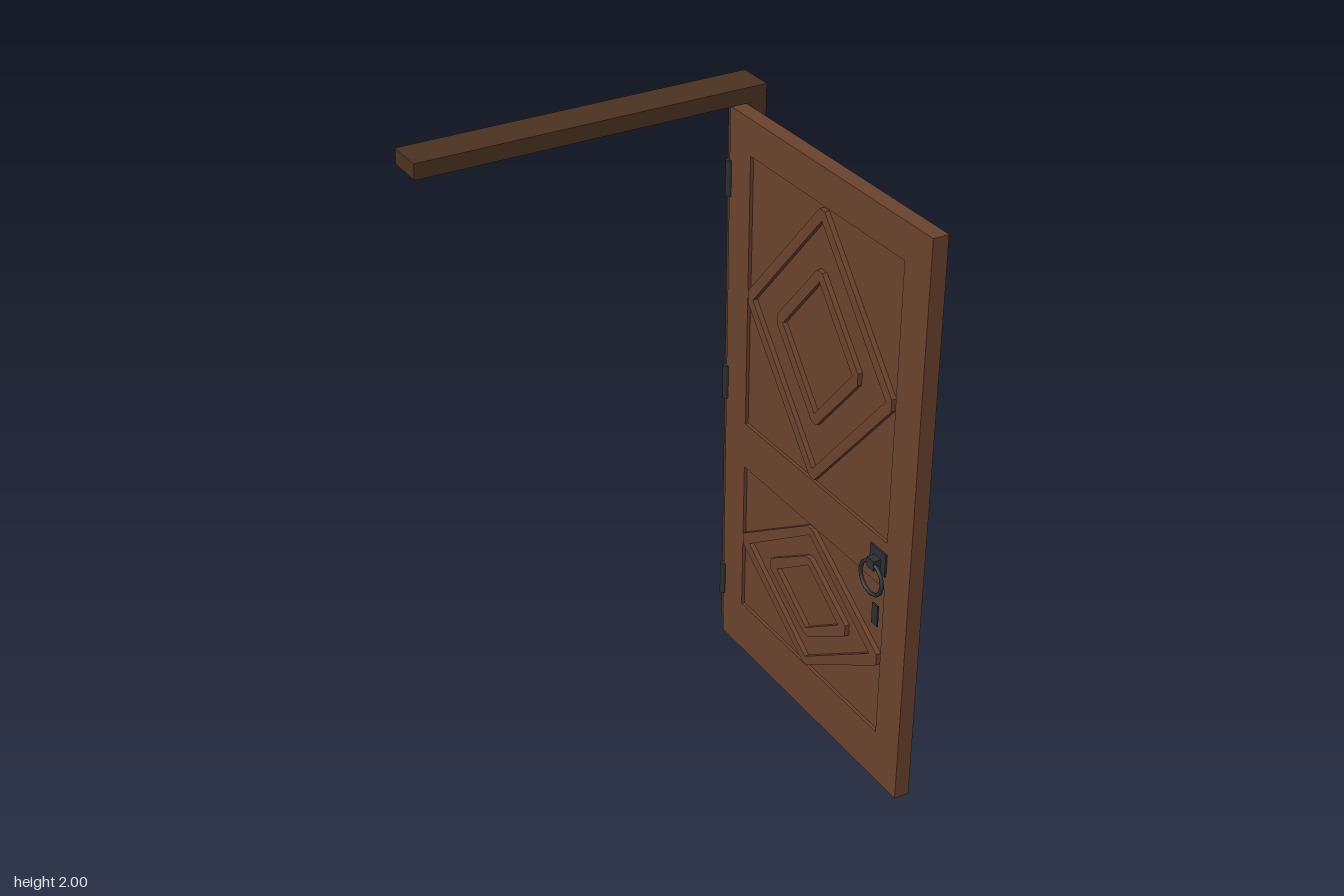
import * as THREE from 'three';

const DOOR_X = 0.491;   // centre plane of the open door leaf
const PANEL_Z = 0.047;  // centre line of the panels
const LATCH_Z = 0.41;   // centre line of the handles

export function createModel() {
  const root = new THREE.Group();
  const material = (name, color) => {
    const m = new THREE.MeshStandardMaterial({ color });
    m.name = name;
    return m;
  };
  const doorWood = material('door wood', 0x6b432d);
  const frameWood = material('frame wood', 0x4c3322);
  const iron = material('dark iron', 0x2b2f33);

  const add = (name, geometry, mat, parent = root) => {
    const mesh = new THREE.Mesh(geometry, mat);
    mesh.name = name;
    parent.add(mesh);
    return mesh;
  };
  // Box given by its min and max on each axis
  const box = (name, x0, x1, y0, y1, z0, z1, mat, parent) =>
    add(name, new THREE.BoxGeometry(x1 - x0, y1 - y0, z1 - z0), mat, parent)
      .position.set((x0 + x1) / 2, (y0 + y1) / 2, (z0 + z1) / 2);

  const points = (list) => list.map(([a, b]) => new THREE.Vector2(a, b));
  const rect = (z0, z1, y0, y1) => points([[z0, y0], [z1, y0], [z1, y1], [z0, y1]]);
  // Extrudes a (z, y) outline along x, centred on x = 0
  const slab = (outline, holes, depth) => {
    const shape = new THREE.Shape(outline);
    holes.forEach((h) => shape.holes.push(new THREE.Path(h)));
    return new THREE.ExtrudeGeometry(shape, { depth, bevelEnabled: false })
      .translate(0, 0, -depth / 2)
      .rotateY(-Math.PI / 2);
  };

  // Door frame: one post and the lintel
  const frame = new THREE.Group();
  frame.name = 'doorFrame';
  root.add(frame);
  box('post', 0.52, 0.576, 0, 1.95, -0.565, -0.44, frameWood, frame);
  box('lintel', -0.576, 0.576, 1.95, 2, -0.565, -0.44, frameWood, frame);

  // Door leaf with two openings, filled by thinner panels
  const door = new THREE.Group();
  door.name = 'door';
  door.position.x = DOOR_X;
  root.add(door);
  const panels = [
    { y0: 0.9, y1: 1.825, half: 0.45, innerHalf: 0.255 },
    { y0: 0.197, y1: 0.738, half: 0.262, innerHalf: 0.148 },
  ];
  const openings = panels.map((p) => rect(-0.347, 0.445, p.y0, p.y1));
  add('stilesAndRails', slab(rect(-0.465, 0.565, 0.015, 1.942), openings, 0.052), doorWood, door);

  // Raised diamond moulding with clipped tips, standing out on both faces
  const diamond = (a, b) => {
    const s = 0.02, t = 0.014, width = 0.022;
    const k = 1 - width * Math.hypot(a, b) / (a * b);
    const outline = points([[a, -s], [a, s], [t, b], [-t, b], [-a, s], [-a, -s], [-t, -b], [t, -b]]);
    const hole = points([[a * k, 0], [0, b * k], [-a * k, 0], [0, -b * k]]);
    return slab(outline, [hole], 0.062);
  };
  panels.forEach((p) => {
    const cy = (p.y0 + p.y1) / 2;
    box('recessedPanel', -0.015, 0.015, p.y0, p.y1, -0.347, 0.445, doorWood, door);
    add('outerDiamond', diamond(0.385, p.half), doorWood, door).position.set(0, cy, PANEL_Z);
    add('innerDiamond', diamond(0.215, p.innerHalf), doorWood, door).position.set(0, cy, PANEL_Z);
  });

  // Ring handle and keyhole plate on each face
  for (const side of [-1, 1]) {
    const handle = new THREE.Group();
    handle.name = 'handle';
    handle.position.set(side * 0.026, 0, LATCH_Z);
    door.add(handle);
    const plate = (name, depth, height, width, y) =>
      add(name, new THREE.BoxGeometry(depth, height, width), iron, handle)
        .position.set(side * depth / 2, y, 0);
    plate('handlePlate', 0.006, 0.078, 0.08, 0.823);
    plate('ringMount', 0.032, 0.034, 0.036, 0.818);
    plate('keyholePlate', 0.005, 0.074, 0.03, 0.624);
    const ring = add('handleRing',
      new THREE.TorusGeometry(0.056, 0.0065, 8, 12).rotateY(Math.PI / 2), iron, handle);
    ring.position.set(side * 0.025, 0.767, 0);
  }

  // Hinge knuckles at the back corner of the leaf
  for (const y of [0.235, 1.0, 1.71]) {
    add('hinge', new THREE.CylinderGeometry(0.012, 0.012, 0.118, 10), iron, door)
      .position.set(-0.027, y, -0.465);
  }
  return root;
}
